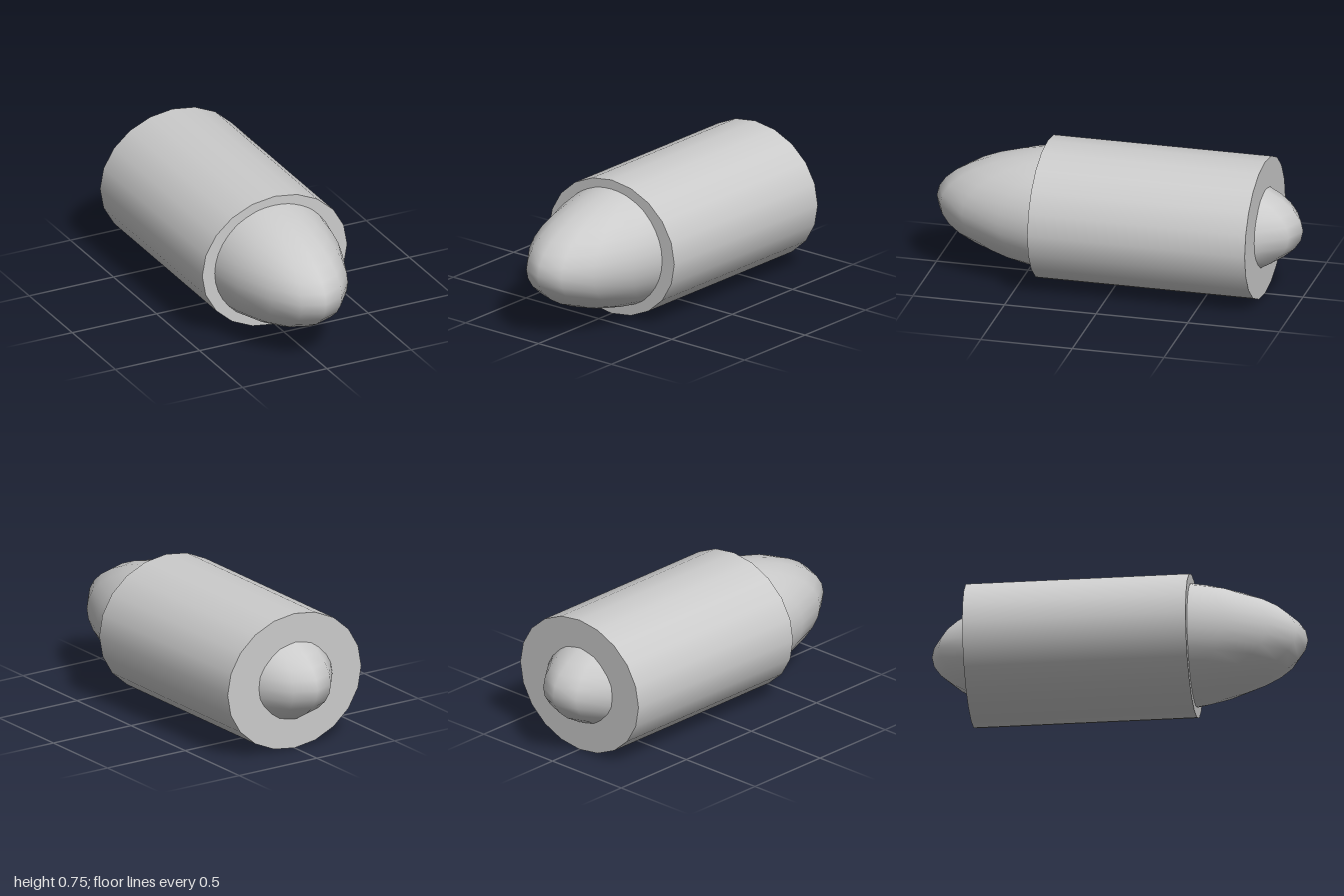
import * as THREE from 'three';

export function createModel() {
  const group = new THREE.Group();
  const material = new THREE.MeshStandardMaterial({ color: 0xcccccc });
  const centreY = 0.375;

  // Long ellipsoid core, poles up and down, its tips showing at both ends
  const core = new THREE.Mesh(new THREE.SphereGeometry(1, 20, 20), material);
  core.name = 'core';
  core.scale.set(0.387, 0.353, 1);
  core.position.set(-0.005, centreY, 0);

  // Oval twenty-sided casing with flat ends
  const front = 0.394, back = -0.793;
  const casingGeometry = new THREE.CylinderGeometry(1, 1, front - back, 20);
  casingGeometry.rotateX(Math.PI / 2).scale(0.43, 0.375, 1);
  const casing = new THREE.Mesh(casingGeometry, material);
  casing.name = 'casing';
  casing.position.set(0, centreY, (front + back) / 2);

  group.add(core, casing);
  return group;
}
